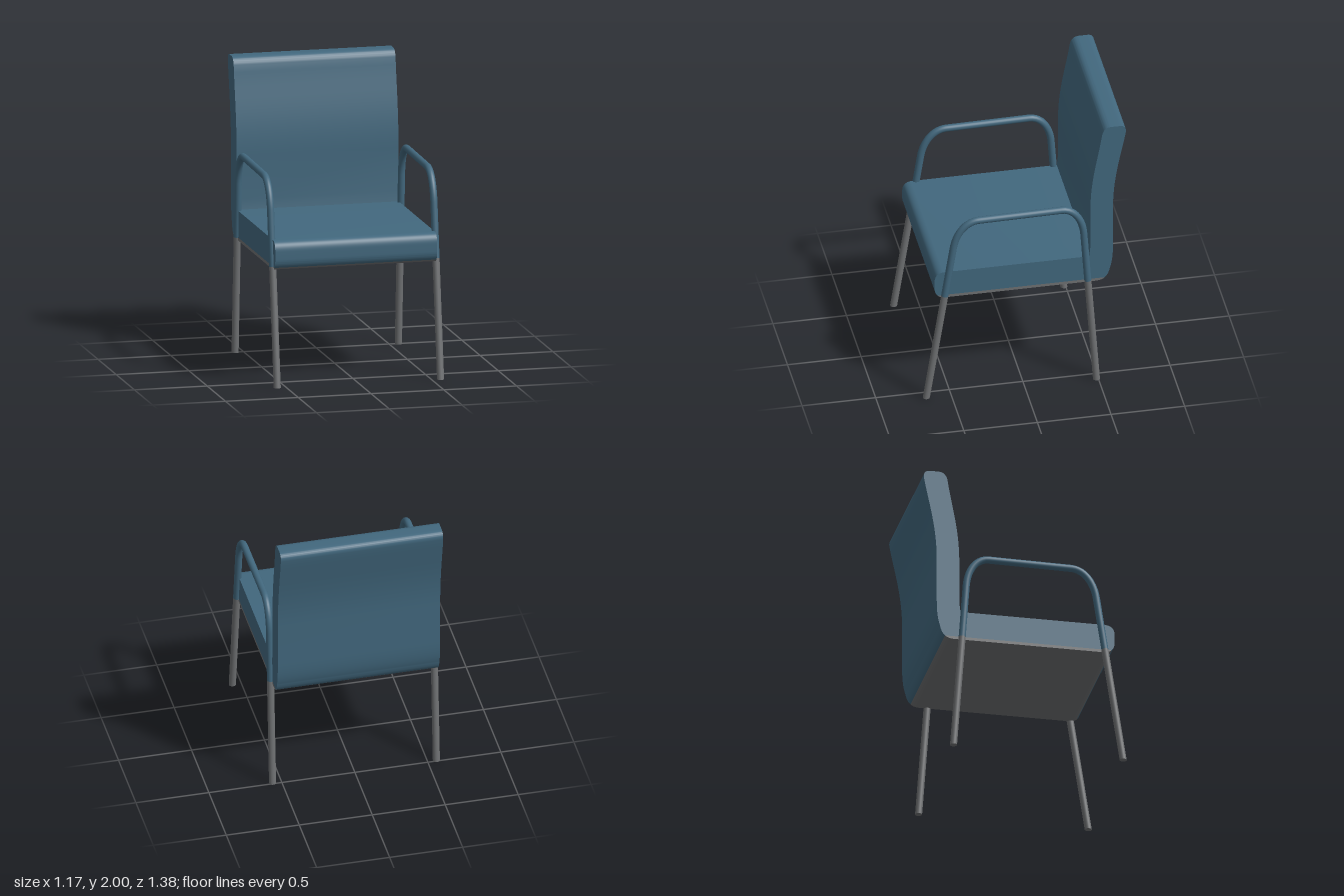
import * as THREE from 'three';
import { toCreasedNormals } from 'three/addons/utils/BufferGeometryUtils.js';

const fabric = new THREE.MeshStandardMaterial({ color: 0x42687e });
const metal = new THREE.MeshStandardMaterial({ color: 0x6f7173 });
const RADIUS = 0.024;
const SPLIT = 0.8; // height where the colour changes

function add(parent, name, geometry, material) {
  const mesh = new THREE.Mesh(geometry, material);
  mesh.name = name;
  parent.add(mesh);
  return mesh;
}

// Side profile (horizontal axis points to the back) extruded across the width
function extrudeAcross(shape) {
  const geo = new THREE.ExtrudeGeometry(shape, { depth: 1.112, bevelEnabled: false, curveSegments: 14 });
  geo.translate(0, 0, -0.56);
  geo.rotateY(Math.PI / 2);
  return toCreasedNormals(geo, 0.6);
}

// Straight leg, cut level with the floor and closed by a cap
function makeLeg(name, x, zFloor, zTop) {
  const leg = new THREE.Group();
  leg.name = name;
  const path = new THREE.LineCurve3(new THREE.Vector3(x, 0, zFloor), new THREE.Vector3(x, SPLIT, zTop));
  const geo = new THREE.TubeGeometry(path, 1, RADIUS, 20);
  const pos = geo.attributes.position;
  for (let i = 0; i < pos.count; i++) if (pos.getY(i) < 0.05) pos.setY(i, 0);
  add(leg, name + 'Tube', geo, metal);
  const cap = add(leg, name + 'Cap', new THREE.CircleGeometry(RADIUS, 20), metal);
  cap.rotation.x = Math.PI / 2;
  cap.position.set(x, 0, zFloor);
  return leg;
}

// Bent armrest tube joining the front and back legs
function makeArmrest(x) {
  const p = (z, y) => new THREE.Vector3(x, y, z);
  const path = new THREE.CurvePath();
  path.add(new THREE.LineCurve3(p(0.543, SPLIT), p(0.4855, 1.17)));
  path.add(new THREE.CubicBezierCurve3(p(0.4855, 1.17), p(0.466, 1.295), p(0.395, 1.375), p(0.31, 1.375)));
  path.add(new THREE.LineCurve3(p(0.31, 1.375), p(-0.25, 1.382)));
  path.add(new THREE.CubicBezierCurve3(p(-0.25, 1.382), p(-0.33, 1.383), p(-0.392, 1.3), p(-0.4015, 1.18)));
  path.add(new THREE.LineCurve3(p(-0.4015, 1.18), p(-0.429, SPLIT)));
  return new THREE.TubeGeometry(path, 80, RADIUS, 20);
}

export function createModel() {
  const chair = new THREE.Group();
  chair.name = 'armchair';

  // Seat and backrest in one upholstered profile
  const body = new THREE.Shape();
  body.moveTo(-0.589, SPLIT);
  body.quadraticCurveTo(-0.61, 0.822, -0.61, 0.86);
  body.lineTo(-0.61, 0.91);
  body.quadraticCurveTo(-0.61, 0.982, -0.54, 0.982);
  body.lineTo(0.44, 0.982);
  body.lineTo(0.448, 1.05);
  body.lineTo(0.448, 1.35);
  body.bezierCurveTo(0.45, 1.6, 0.5, 1.75, 0.528, 1.94);
  body.quadraticCurveTo(0.54, 2, 0.59, 2);
  body.lineTo(0.645, 2);
  body.quadraticCurveTo(0.7, 2, 0.688, 1.94);
  body.bezierCurveTo(0.66, 1.78, 0.602, 1.6, 0.602, 1.35);
  body.lineTo(0.602, 1.05);
  body.bezierCurveTo(0.602, 0.95, 0.59, 0.9, 0.58, 0.87);
  body.quadraticCurveTo(0.57, 0.82, 0.545, SPLIT);
  body.closePath();
  add(chair, 'seatAndBackrest', extrudeAcross(body), fabric);

  // Grey underside of the seat
  const base = new THREE.Shape();
  base.moveTo(-0.589, SPLIT);
  base.quadraticCurveTo(-0.57, 0.78, -0.535, 0.78);
  base.lineTo(0.48, 0.78);
  base.quadraticCurveTo(0.525, 0.78, 0.545, SPLIT);
  base.closePath();
  add(chair, 'seatUnderside', extrudeAcross(base), metal);

  // Tubular frame on both sides
  for (const [side, x] of [['left', 0.561], ['right', -0.561]]) {
    add(chair, side + 'Armrest', makeArmrest(x), fabric);
    chair.add(makeLeg(side + 'FrontLeg', x, 0.668, 0.543));
    chair.add(makeLeg(side + 'BackLeg', x, -0.488, -0.429));
  }
  return chair;
}
